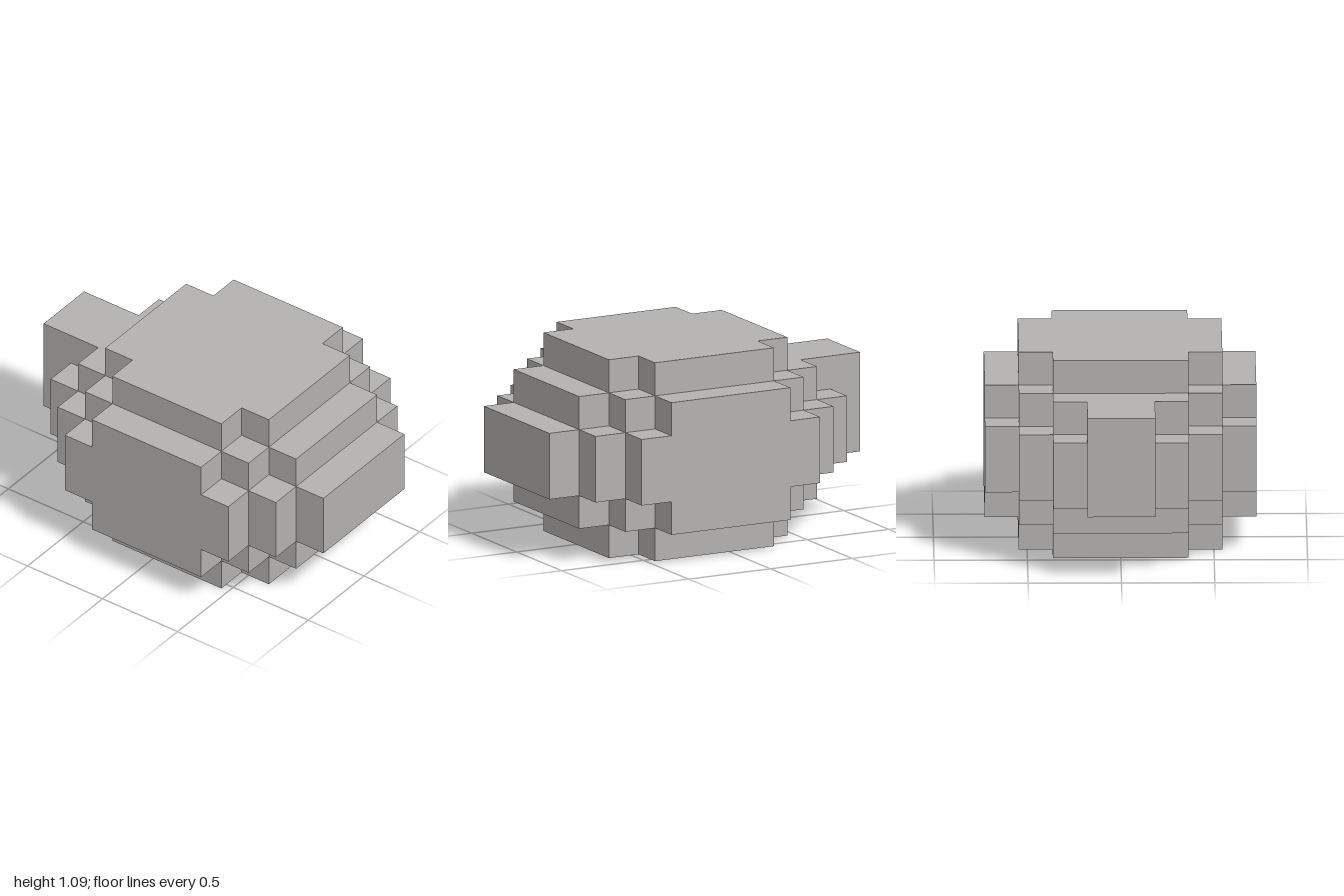
import * as THREE from 'three';

const U = 2 / 11;          // edge of one block
const MID_Y = 3 * U;       // mid height of the body
const MID_Z = 0.5 * U;     // body sits slightly forward of the tail

// Stepped outline, mirrored into four quadrants from its outer corners [x, z]
function steppedOutline(corners) {
  const quarter = [];
  corners.forEach(([x, z], i) => {
    quarter.push([x, z]);
    if (i < corners.length - 1) quarter.push([x, corners[i + 1][1]]);
  });
  const back = [...quarter].reverse();
  const points = [
    ...quarter,
    ...back.map(([x, z]) => [x, -z]),
    ...quarter.map(([x, z]) => [-x, -z]),
    ...back.map(([x, z]) => [-x, z]),
  ];
  return new THREE.Shape(points.map(([x, z]) => new THREE.Vector2(x * U, z * U)));
}

export function createModel() {
  const model = new THREE.Group();
  model.name = 'blockBody';
  const grey = new THREE.MeshStandardMaterial({ color: 0xb4b2b0 });
  grey.name = 'grey';

  const add = (name, geometry, x, y, z) => {
    const mesh = new THREE.Mesh(geometry, grey);
    mesh.name = name;
    mesh.position.set(x, y, z);
    model.add(mesh);
  };

  // Nested body slabs: half height and outer corners, in blocks
  const slabs = [
    ['core', 3, [[2, 3], [3, 2]]],
    ['belt', 2, [[2, 4], [3, 3], [4, 2]]],
    ['middleBand', 1, [[2, 5], [3, 4], [4, 3]]],
  ];
  for (const [name, half, corners] of slabs) {
    const geometry = new THREE.ExtrudeGeometry(steppedOutline(corners), {
      depth: 2 * half * U, bevelEnabled: false,
    });
    geometry.translate(0, 0, -half * U).rotateX(-Math.PI / 2);
    add(name, geometry, 0, MID_Y, MID_Z);
  }

  // Tail block at the back, its upper part reaching forward to the belt
  add('tailTop', new THREE.BoxGeometry(2 * U, U, 2 * U), 0, 4.5 * U, -4.5 * U);
  add('tailBase', new THREE.BoxGeometry(2 * U, 2 * U, U), 0, 3 * U, -5 * U);

  return model;
}
